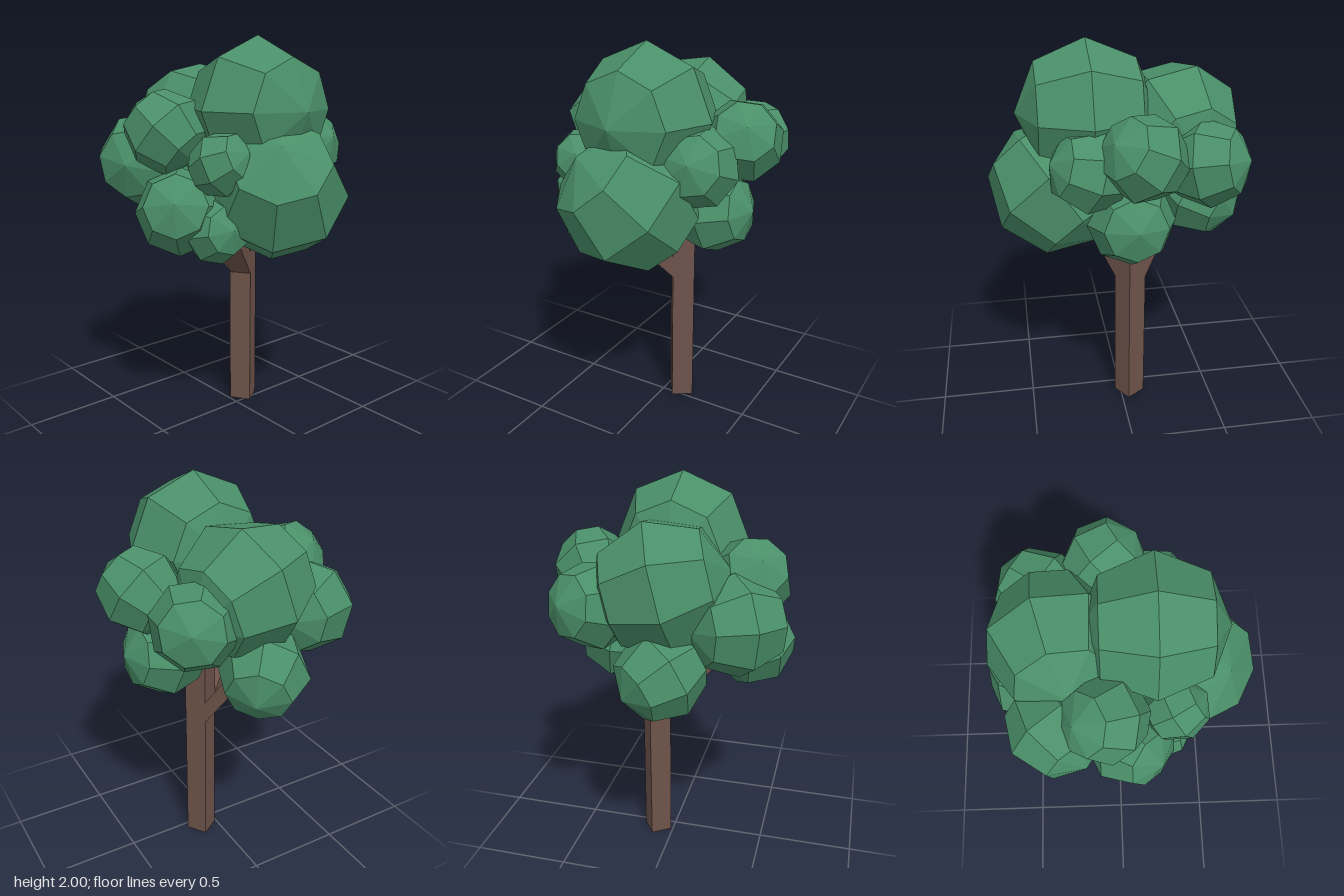
import * as THREE from 'three';

const leafMaterial = new THREE.MeshStandardMaterial({ color: 0x4a8f69, flatShading: true });
const barkMaterial = new THREE.MeshStandardMaterial({ color: 0x6e534a, flatShading: true });
const up = new THREE.Vector3(0, 1, 0);

// Square limb rising at a slant from one side of the trunk
function makeBranch(name, side, run, rise, angle) {
  const start = side / 2;
  const shape = new THREE.Shape([
    new THREE.Vector2(start, 0.75),
    new THREE.Vector2(start + run, 0.75 + rise),
    new THREE.Vector2(start + run, 0.87 + rise),
    new THREE.Vector2(start, 0.87),
  ]);
  const geometry = new THREE.ExtrudeGeometry(shape, { depth: side, bevelEnabled: false });
  geometry.translate(0, 0, -side / 2);
  const branch = new THREE.Mesh(geometry, barkMaterial);
  branch.name = name;
  branch.rotation.y = angle;
  return branch;
}

export function createModel() {
  const tree = new THREE.Group();
  tree.name = 'tree';

  // Trunk and its two branches
  const side = 0.115;
  const trunkHeight = 1.18;
  const wood = new THREE.Group();
  wood.name = 'wood';
  wood.position.set(0.09, 0, -0.05);
  wood.rotation.y = 0.59;
  const trunk = new THREE.Mesh(new THREE.BoxGeometry(side, trunkHeight, side), barkMaterial);
  trunk.name = 'trunk';
  trunk.position.y = trunkHeight / 2;
  wood.add(
    trunk,
    makeBranch('frontBranch', side, 0.33, 0.32, Math.PI),
    makeBranch('backBranch', side, 0.28, 0.39, Math.PI / 2),
  );
  tree.add(wood);

  // Leaf clumps: name, centre, radius, direction of the pole
  const clumps = [
    ['topClump', [0, 1.65, 0.16], 0.35, [0, 0, 1]],
    ['frontClump', [-0.01, 1.26, 0.32], 0.35, [-0.45, 0.7, 0.55]],
    ['upperBackClump', [-0.01, 1.54, -0.295], 0.335, [0.95, -0.25, -0.19]],
    ['lowerBackClump', [-0.04, 1.155, -0.44], 0.225, [0.64, -0.35, -0.69]],
    ['leftBackClump', [0.3, 1.45, -0.38], 0.215, [0.5, 0.2, -0.8]],
    ['leftUpperClump', [0.405, 1.53, -0.055], 0.21, [0.44, 0.52, 0.73]],
    ['leftFrontClump', [0.29, 1.44, 0.18], 0.205, [0.2, 0.3, 0.93]],
    ['leftLowerClump', [0.28, 1.16, -0.02], 0.22, [0.98, 0.15, 0]],
    ['rightBackClump', [-0.37, 1.38, -0.3], 0.245, [0.83, 0, -0.56]],
    ['rightUpperClump', [-0.39, 1.54, -0.075], 0.21, [-0.35, 0.65, -0.67]],
    ['rightLowerClump', [-0.4, 1.165, 0.045], 0.22, [0.64, -0.35, -0.69]],
    ['rightFrontUpperClump', [-0.31, 1.41, 0.26], 0.16, [0.3, 0.4, 0.85]],
    ['rightFrontLowerClump', [-0.3, 1.08, 0.2], 0.165, [-0.1, 0.2, 0.97]],
  ];
  const foliage = new THREE.Group();
  foliage.name = 'foliage';
  const clumpGeometry = new THREE.SphereGeometry(1, 8, 4);
  for (const [name, centre, radius, pole] of clumps) {
    const clump = new THREE.Mesh(clumpGeometry, leafMaterial);
    clump.name = name;
    clump.position.set(...centre);
    clump.scale.setScalar(radius);
    clump.quaternion.setFromUnitVectors(up, new THREE.Vector3(...pole).normalize());
    foliage.add(clump);
  }
  tree.add(foliage);
  return tree;
}
